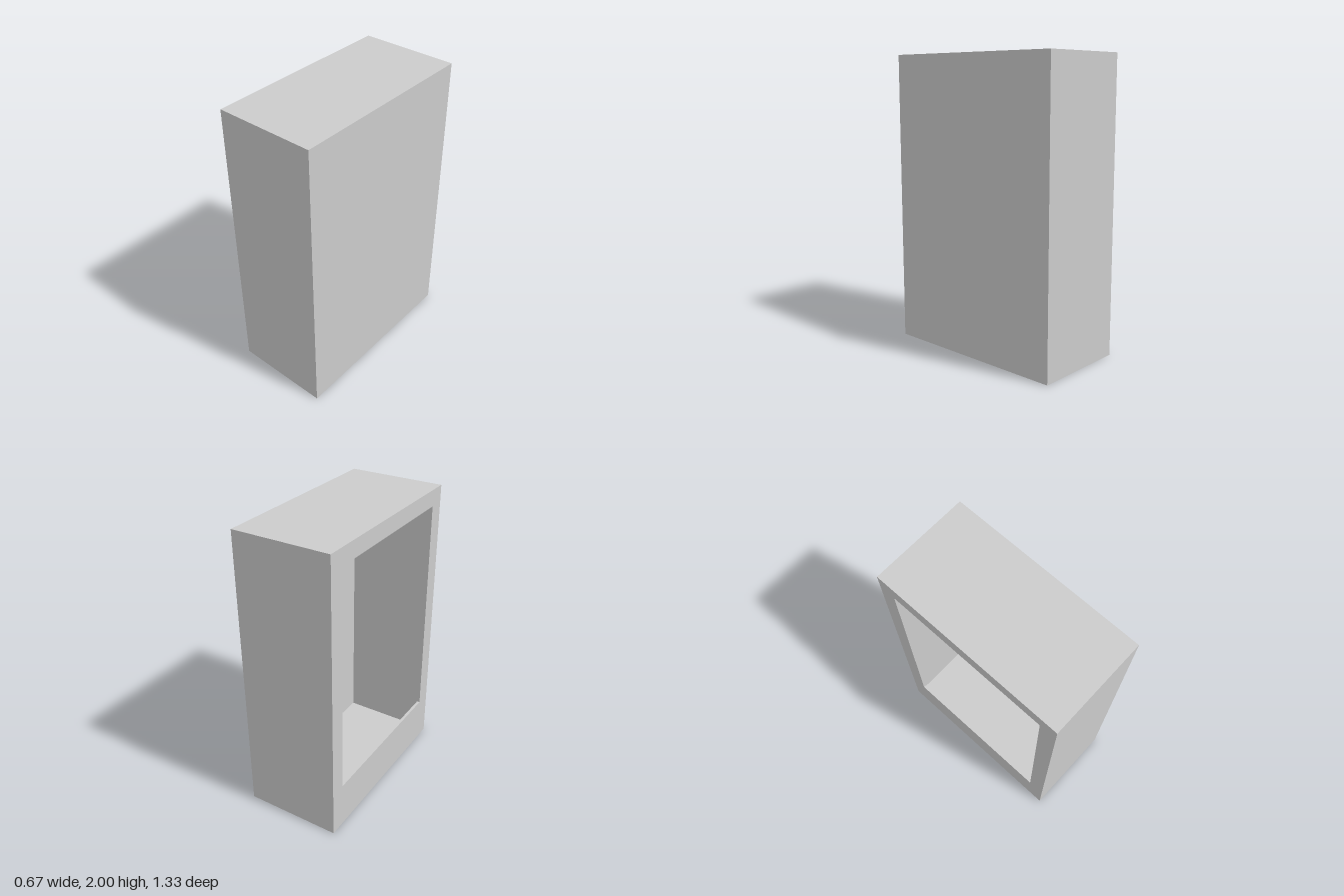
import * as THREE from 'three';

const W = 0.667, H = 2, D = 1.333; // overall x, y, z
const T = 0.02;                    // panel thickness

// Rectangle in the z-y plane, used for outlines and holes
function rect(PathType, z0, z1, y0, y1) {
  const p = new PathType();
  p.moveTo(z0, y0);
  p.lineTo(z1, y0);
  p.lineTo(z1, y1);
  p.lineTo(z0, y1);
  p.closePath();
  return p;
}

export function createModel() {
  const group = new THREE.Group();
  group.name = 'cabinet';
  const material = new THREE.MeshStandardMaterial({ color: 0xcccccc });

  // Full-size side outline, optionally with a hole, extruded from x0 to x1
  function slab(name, x0, x1, hole) {
    const shape = rect(THREE.Shape, -D / 2, D / 2, 0, H);
    if (hole) shape.holes.push(rect(THREE.Path, ...hole));
    const geometry = new THREE.ExtrudeGeometry(shape, { depth: x1 - x0, bevelEnabled: false });
    geometry.rotateY(-Math.PI / 2);
    geometry.translate(x1, 0, 0);
    const mesh = new THREE.Mesh(geometry, material);
    mesh.name = name;
    group.add(mesh);
  }

  // Closed side panel on +x
  slab('closedSidePanel', W / 2 - T, W / 2);
  // Floor, top, front and back walls as one hollow ring
  slab('shellWalls', -W / 2 + T, W / 2 - T, [-D / 2 + T, D / 2 - T, T, H - T]);
  // Thin side panel on -x with the large window opening
  slab('openingFrame', -W / 2, -W / 2 + T, [-0.553, 0.553, 0.327, 1.887]);

  return group;
}
